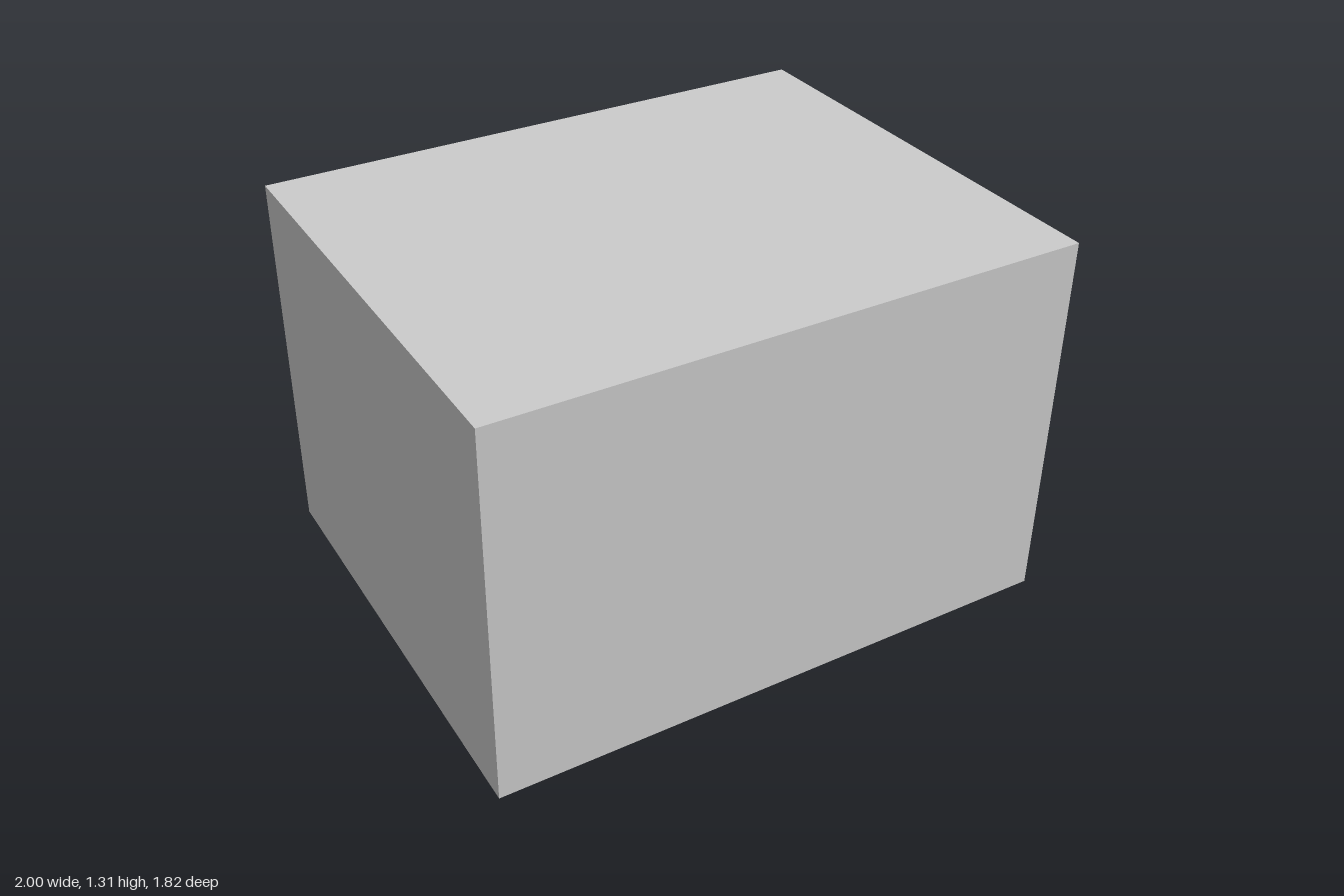
import * as THREE from 'three';

export function createModel() {
  const group = new THREE.Group();
  const material = new THREE.MeshStandardMaterial({ color: 0xcccccc });
  const add = (name, geometry, x, y, z) => {
    const mesh = new THREE.Mesh(geometry, material);
    mesh.name = name;
    mesh.position.set(x, y, z);
    group.add(mesh);
  };

  // Plain cabinet block
  add('cabinet', new THREE.BoxGeometry(2, 1.31, 1.6), 0, 0.655, 0.11);

  // Bevelled drawer panel: a box whose outer face is drawn in
  const panel = new THREE.BoxGeometry(1.93, 0.665, 0.075);
  const pos = panel.attributes.position;
  for (let i = 0; i < pos.count; i++) {
    if (pos.getZ(i) < 0) {
      pos.setX(i, Math.sign(pos.getX(i)) * 0.895);
      pos.setY(i, Math.sign(pos.getY(i)) * 0.2825);
    }
  }
  panel.computeVertexNormals();
  add('drawerPanel', panel, -0.015, 0.9125, -0.7275);

  // Bowed handle: a tube along an elliptical arc, stretched into a flat strap
  const points = [];
  for (let i = 0; i <= 24; i++) {
    const t = 0.39 + (Math.PI - 0.78) * (i / 24);
    points.push(new THREE.Vector3(0.66 * Math.cos(t), 0, -0.25 * Math.sin(t)));
  }
  const handle = new THREE.TubeGeometry(new THREE.CatmullRomCurve3(points), 64, 0.012, 24);
  handle.scale(1, 5, 1);
  add('handle', handle, 0.005, 1.005, -0.652);

  return group;
}
